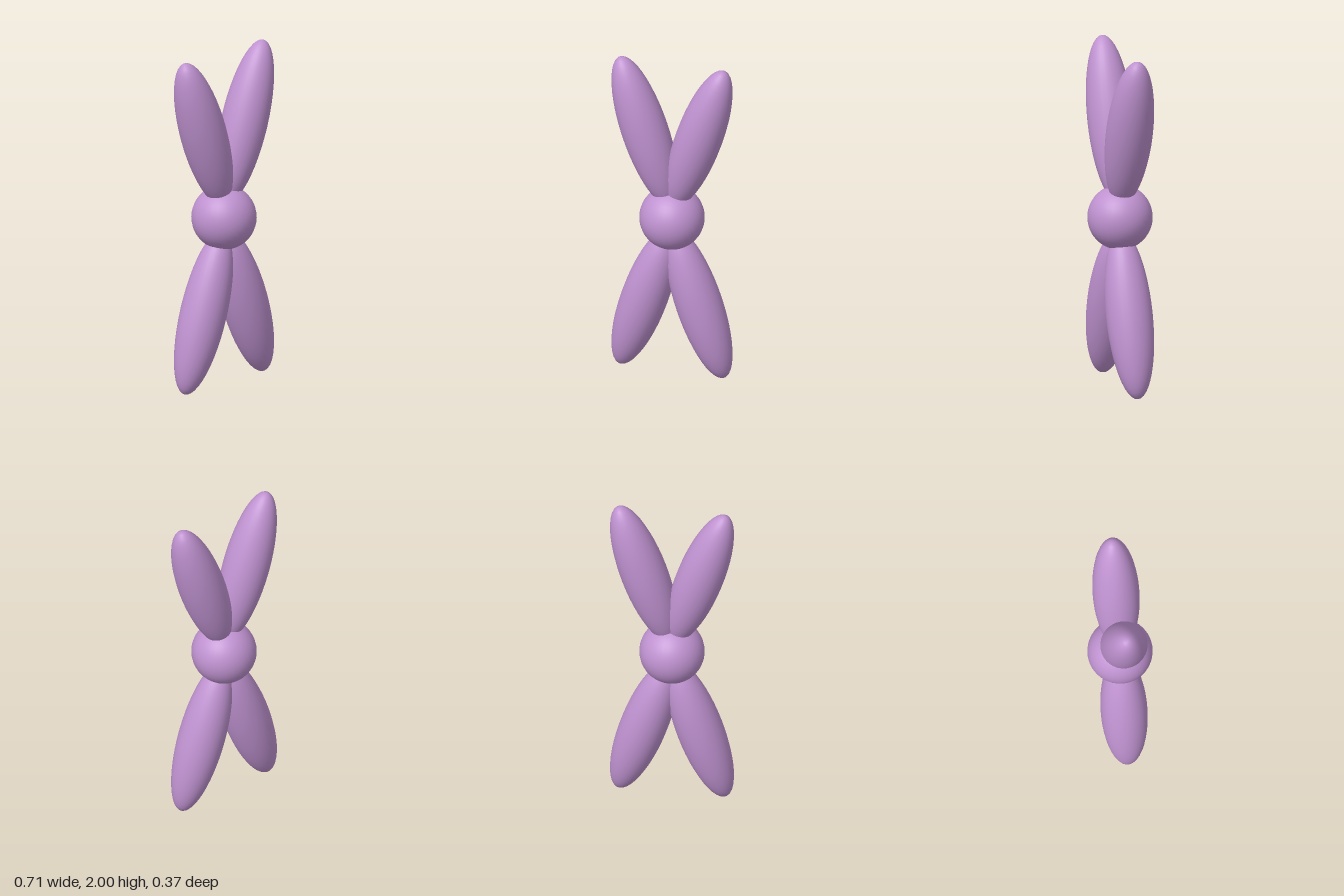
import * as THREE from 'three';

export function createModel() {
  const model = new THREE.Group();
  model.name = 'crossedPetals';
  const material = new THREE.MeshStandardMaterial({ color: 0xbf92d0 });

  // Central ball
  const ball = new THREE.Mesh(new THREE.SphereGeometry(0.187, 32, 24), material);
  ball.name = 'centerBall';
  ball.position.y = 1;
  model.add(ball);

  // Four long petals, leaning outward and mirrored up/down and left/right
  const petalGeometry = new THREE.SphereGeometry(1, 32, 24).scale(0.134, 0.482, 0.134);
  for (const sy of [1, -1]) {
    for (const sx of [1, -1]) {
      const petal = new THREE.Mesh(petalGeometry, material);
      petal.name = (sy > 0 ? 'upper' : 'lower') + (sx > 0 ? 'Left' : 'Right') + 'Petal';
      petal.position.set(sx * 0.161, 1 + sy * 0.54, 0);
      petal.rotation.z = -sx * sy * Math.PI / 10;
      model.add(petal);
    }
  }
  return model;
}
